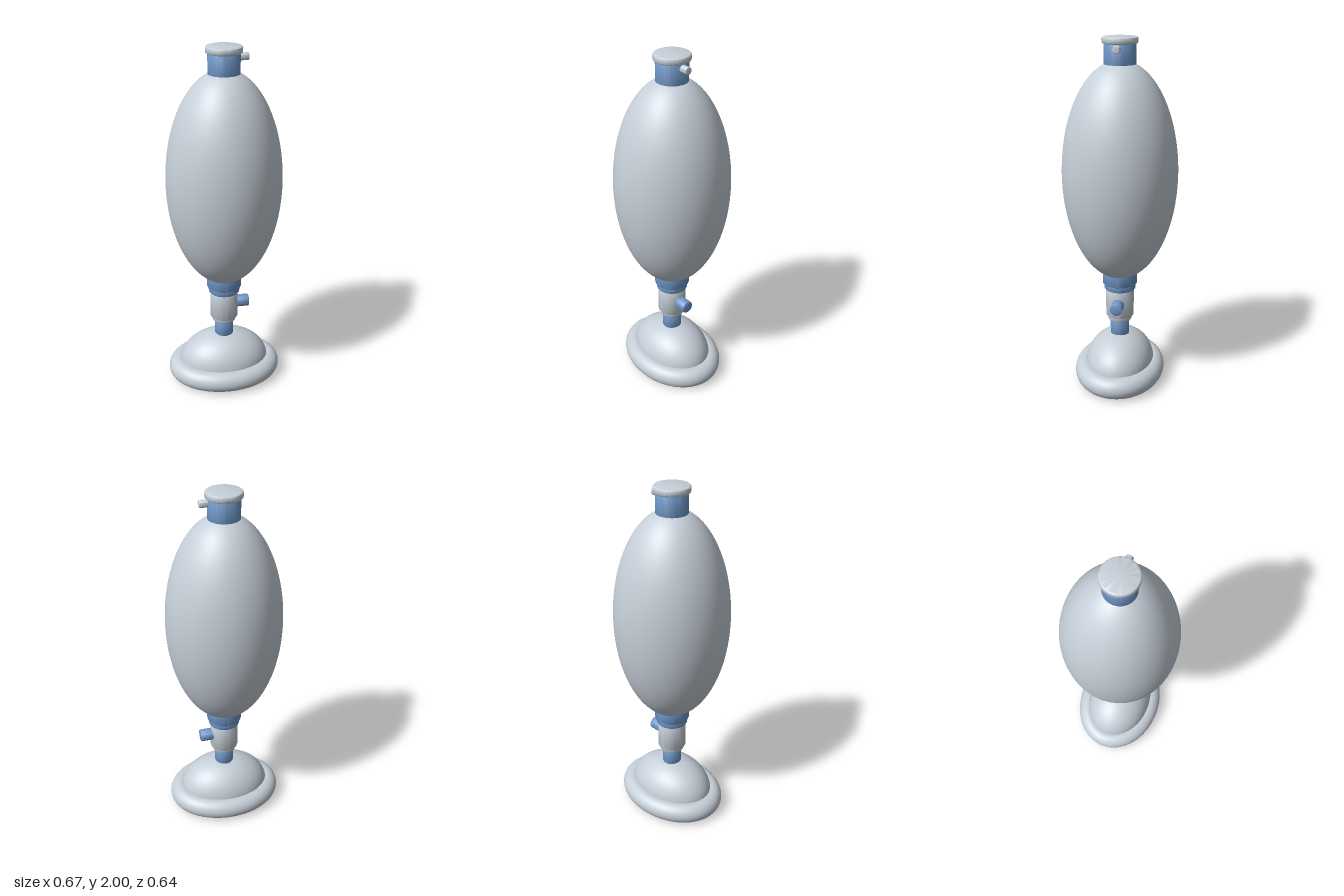
import * as THREE from 'three';
import { toCreasedNormals } from 'three/addons/utils/BufferGeometryUtils.js';

const material = (name, color, side = THREE.FrontSide) => {
  const m = new THREE.MeshStandardMaterial({ color, side });
  m.name = name;
  return m;
};

// Solid turned cylinder from y = 0 to h with softened edges
function turned(r, h, bevel = 0.005) {
  const profile = [new THREE.Vector2(0, 0)];
  const steps = 4;
  for (let i = 0; i <= steps; i++) {
    const a = (i / steps) * Math.PI / 2;
    profile.push(new THREE.Vector2(r - bevel + bevel * Math.sin(a), bevel - bevel * Math.cos(a)));
  }
  for (let i = 0; i <= steps; i++) {
    const a = (i / steps) * Math.PI / 2;
    profile.push(new THREE.Vector2(r - bevel + bevel * Math.cos(a), h - bevel + bevel * Math.sin(a)));
  }
  profile.push(new THREE.Vector2(0, h));
  return toCreasedNormals(new THREE.LatheGeometry(profile, 64), 0.6);
}

export function createModel() {
  const model = new THREE.Group();
  model.name = 'resuscitatorBag';
  const grey = material('paleGrey', 0xc6cfd8, THREE.DoubleSide);
  const blue = material('softBlue', 0x7199cb);

  const add = (name, geometry, mat) => {
    const mesh = new THREE.Mesh(geometry, mat);
    mesh.name = name;
    model.add(mesh);
    return mesh;
  };
  const stack = (name, r, y0, y1, mat, bevel) => {
    add(name, turned(r, y1 - y0, bevel), mat).position.y = y0;
  };
  const port = (name, r, x0, x1, y, mat) => {
    const mesh = add(name, turned(r, x1 - x0, 0.004), mat);
    mesh.rotation.z = -Math.PI / 2;
    mesh.position.set(x0, y, 0);
  };

  // Oval mask cushion: a round tube following an ellipse
  const oval = [];
  for (let i = 0; i < 32; i++) {
    const a = (i / 32) * Math.PI * 2;
    oval.push(new THREE.Vector3(0.273 * Math.cos(a), 0.0625, 0.2 * Math.sin(a)));
  }
  const ring = new THREE.CatmullRomCurve3(oval, true);
  add('maskCushion', new THREE.TubeGeometry(ring, 128, 0.0625, 28, true), grey);

  // Hollow mask dome
  const dome = new THREE.SphereGeometry(1, 64, 24, 0, Math.PI * 2, 0, Math.PI / 2);
  dome.scale(0.265, 0.19, 0.2);
  add('maskDome', dome, grey).position.y = 0.1;

  // Neck and valve
  stack('maskConnector', 0.055, 0.27, 0.38, blue);
  stack('valveLip', 0.068, 0.375, 0.41, grey);
  stack('valveHousing', 0.081, 0.403, 0.575, grey);
  port('exhalePort', 0.036, 0.05, 0.146, 0.49, blue);
  stack('lowerCollar', 0.09, 0.57, 0.612, blue);
  stack('upperCollar', 0.1, 0.605, 0.69, blue);

  // Squeeze bag
  const bag = new THREE.SphereGeometry(1, 72, 48);
  bag.scale(0.322, 0.62, 0.322);
  add('squeezeBag', bag, grey).position.y = 1.26;

  // Intake valve, cap and oxygen inlet
  stack('intakeCollar', 0.086, 1.82, 1.97, blue);
  stack('intakeCap', 0.098, 1.964, 2, grey, 0.01);
  port('oxygenInlet', 0.02, 0.06, 0.13, 1.942, grey);

  return model;
}
